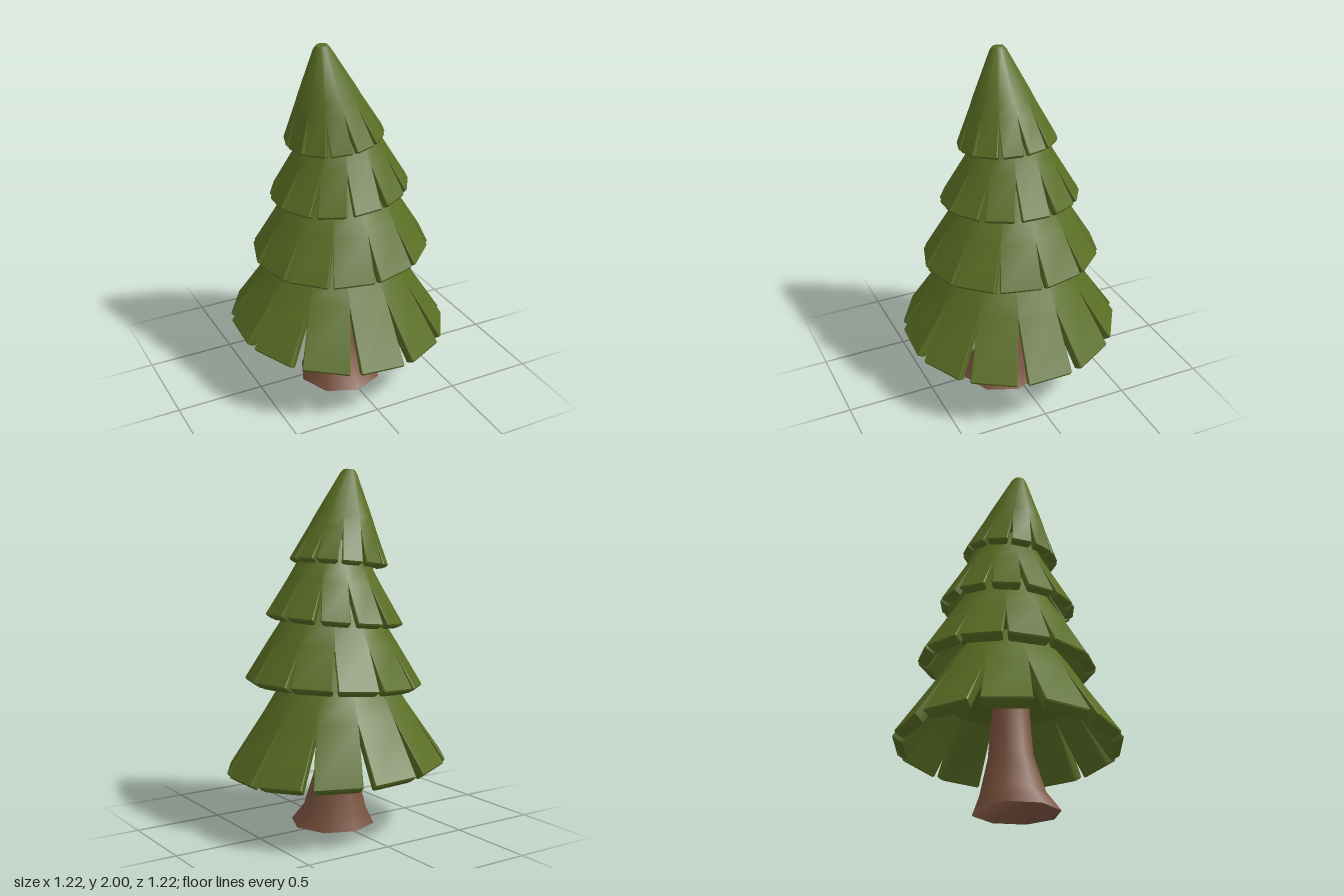
import * as THREE from 'three';
import { toCreasedNormals } from 'three/addons/utils/BufferGeometryUtils.js';

const SIDES = 12;
const TAN = Math.tan(Math.PI / SIDES);
const BEVEL = 0.007;

// One skirt of branches: a faceted cone whose lower part is cut into thick bevelled flaps.
// profile runs from the top down as [radius, y]; the last two points span the flaps.
function tierGeometry({ profile, gap, thick, turn, tilt, shift }) {
  const out = [];
  const tri = (a, b, c) => out.push(...a, ...b, ...c);
  const quad = (a, b, c, d) => { tri(a, b, c); tri(a, c, d); };
  const [slit, hem] = profile.slice(-2);

  // slope direction and the inward direction across the flap's thickness
  const len = Math.hypot(hem[0] - slit[0], hem[1] - slit[1]);
  const down = [(hem[0] - slit[0]) / len, (hem[1] - slit[1]) / len];
  const inward = [down[1], -down[0]];

  for (let i = 0; i < SIDES; i++) {
    const angle = turn + (i / SIDES) * Math.PI * 2;
    const cos = Math.cos(angle), sin = Math.sin(angle);

    // u = outwards, v = sideways; the whole tier is leaned and shifted
    const place = (u, y, v) => {
      const x = u * cos - v * sin, z = u * sin + v * cos;
      const [sx, sz] = shift(y);
      return [x + sx, y + tilt[0] * x + tilt[1] * z, z + sz];
    };
    const corner = ([r, y], side) => place(r, y, side * r * TAN);

    // eight-point chamfered cross-section of a flap
    const section = ([r, y], cut, bevel, inset) => {
      const at = (depth, side, trim) => {
        const u = r + inward[0] * depth;
        return place(u, y + inward[1] * depth, side * (u * TAN - cut - trim - inset));
      };
      const a = inset, b = thick - inset;
      return [
        at(a, -1, bevel), at(a, 1, bevel), at(a + bevel, 1, 0), at(b - bevel, 1, 0),
        at(b, 1, bevel), at(b, -1, bevel), at(b - bevel, -1, 0), at(a + bevel, -1, 0),
      ];
    };
    const above = [hem[0] - down[0] * BEVEL, hem[1] - down[1] * BEVEL];
    const rings = [
      section(slit, 0, 0, 0),
      section(above, gap, BEVEL, 0),
      section(hem, gap, BEVEL, BEVEL),
    ];
    for (let s = 0; s < 2; s++) {
      for (let k = 0; k < 8; k++) {
        const n = (k + 1) % 8;
        quad(rings[s][k], rings[s][n], rings[s + 1][n], rings[s + 1][k]);
      }
    }
    for (let k = 1; k < 7; k++) tri(rings[2][0], rings[2][k], rings[2][k + 1]);

    // unbroken cone above the flaps, its top cap and the ceiling inside
    for (let s = 0; s < profile.length - 2; s++) {
      const p = profile[s], q = profile[s + 1];
      quad(corner(p, -1), corner(p, 1), corner(q, 1), corner(q, -1));
    }
    tri(corner(profile[0], 1), corner(profile[0], -1), place(0, profile[0][1], 0));
    tri(rings[0][5], rings[0][4], place(0, slit[1] + 0.03, 0));
  }

  const geometry = new THREE.BufferGeometry();
  geometry.setAttribute('position', new THREE.Float32BufferAttribute(out, 3));
  return toCreasedNormals(geometry, 0.68);
}

// Flared eight-sided trunk, its foot spreading a little further to the front
function trunkGeometry() {
  const points = [[0.24, 0], [0.18, 0.1], [0.125, 0.3], [0.09, 0.74]]
    .map(([r, y]) => new THREE.Vector2(r, y));
  const geometry = new THREE.LatheGeometry(points, 8);
  const pos = geometry.attributes.position;
  for (let i = 0; i < pos.count; i++) {
    const y = pos.getY(i);
    pos.setZ(i, pos.getZ(i) + 0.01 + 0.035 * Math.max(0, 1 - y / 0.15));
    pos.setX(i, pos.getX(i) - 0.008);
  }
  return toCreasedNormals(geometry, 0.85);
}

export function createModel() {
  const group = new THREE.Group();
  const leaf = new THREE.MeshStandardMaterial({ color: 0x5a6e24 });
  leaf.name = 'leafGreen';
  const bark = new THREE.MeshStandardMaterial({ color: 0x7a523e, side: THREE.DoubleSide });
  bark.name = 'barkBrown';

  const add = (name, geometry, material) => {
    const mesh = new THREE.Mesh(geometry, material);
    mesh.name = name;
    group.add(mesh);
  };

  add('trunk', trunkGeometry(), bark);

  const straight = 0.044;                       // flap centred on the axes
  const half = straight + Math.PI / SIDES;      // slit centred on the axes
  const tiers = {
    bottomBranches: {
      profile: [[0.24, 0.92], [0.325, 0.8], [0.41, 0.66], [0.61, 0.36]],
      gap: 0.031, thick: 0.065, turn: straight, tilt: [-0.05, -0.04], shift: () => [0, 0],
    },
    lowerBranches: {
      profile: [[0.2, 1.3], [0.27, 1.18], [0.35, 1.05], [0.485, 0.828]],
      gap: 0.014, thick: 0.062, turn: half, tilt: [0.06, -0.02], shift: () => [0.015, 0],
    },
    upperBranches: {
      profile: [[0.13, 1.62], [0.2, 1.49], [0.255, 1.39], [0.38, 1.18]],
      gap: 0.02, thick: 0.052, turn: straight, tilt: [0.09, 0], shift: () => [0.01, 0],
    },
    topBranches: {
      profile: [[0.03, 2.0], [0.045, 1.98], [0.155, 1.74], [0.18, 1.68], [0.27, 1.49]],
      gap: 0.011, thick: 0.046, turn: half, tilt: [0.11, -0.04],
      shift: (y) => [-0.02 - 0.157 * (y - 1.49), 0.03 * (y - 1.49)],
    },
  };
  for (const [name, tier] of Object.entries(tiers)) add(name, tierGeometry(tier), leaf);

  return group;
}
